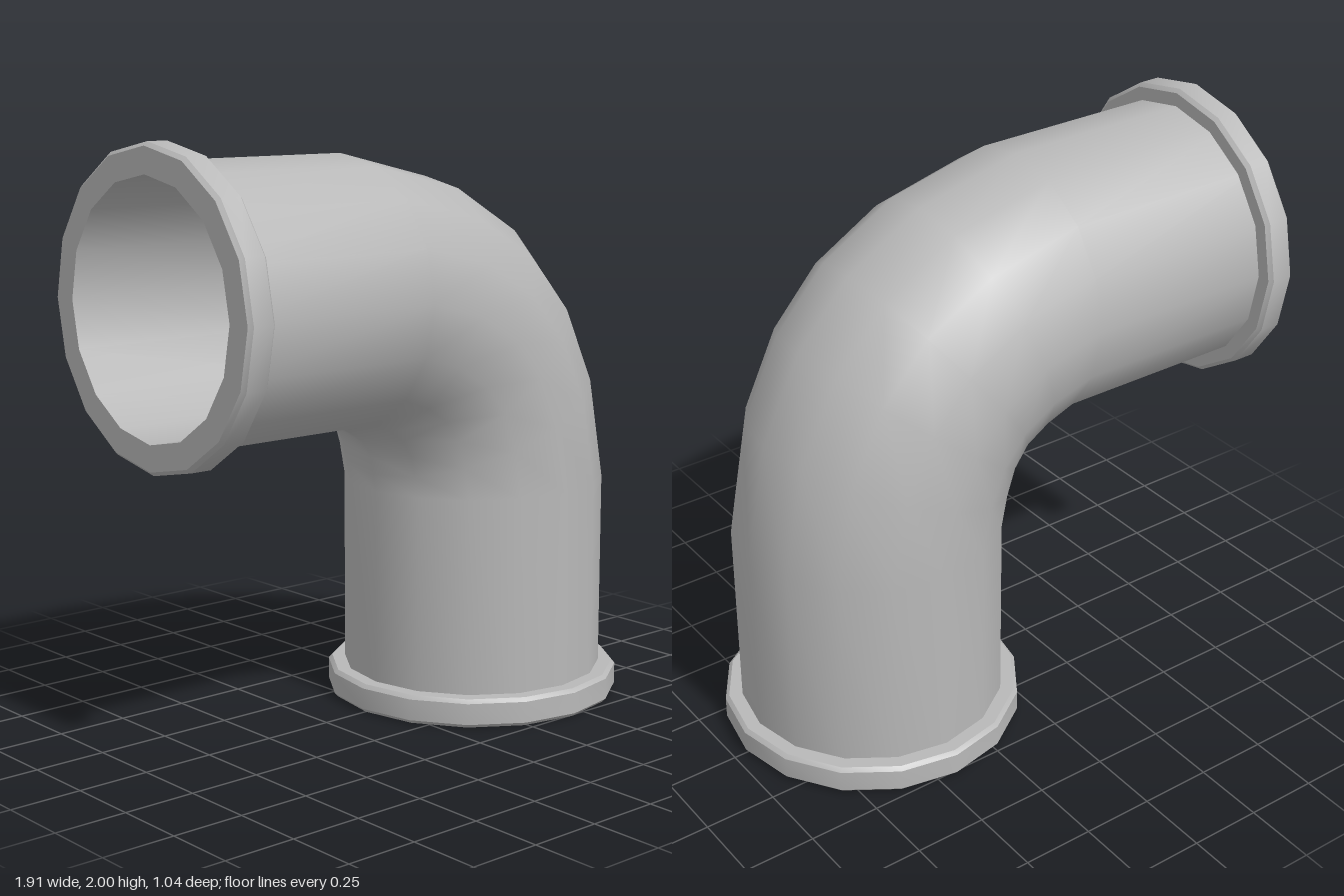
import * as THREE from 'three';
import { toCreasedNormals } from 'three/addons/utils/BufferGeometryUtils.js';

const SIDES = 16;
const OUTER = 0.46, BORE = 0.42, RIM = 0.52;
const AXIS_X = 0.435, AXIS_Y = 1.48, LEFT = -0.96;

// Cross-sections along the elbow: centre x, centre y, turn in degrees
const SECTIONS = [
  [LEFT, AXIS_Y, 0],
  [-0.18, AXIS_Y, 0],
  [0.037, 1.42, 20.9],
  [0.201, 1.322, 37.2],
  [0.312, 1.19, 51.8],
  [0.39, 1.012, 68.2],
  [AXIS_X, 0.78, 90],
  [AXIS_X, 0, 90],
];

// Skin of round sections; inward turns the faces towards the axis
function pipeSkin(radius, inward) {
  const pos = [], index = [];
  SECTIONS.forEach(([cx, cy, deg], i) => {
    const turn = THREE.MathUtils.degToRad(deg);
    for (let j = 0; j < SIDES; j++) {
      const a = (j / SIDES) * Math.PI * 2;
      const n = radius * Math.cos(a);
      pos.push(cx + n * Math.sin(turn), cy + n * Math.cos(turn), radius * Math.sin(a));
      if (i === 0) continue;
      const k = (j + 1) % SIDES;
      const p = (i - 1) * SIDES, q = i * SIDES;
      if (inward) index.push(p + j, q + j, p + k, p + k, q + j, q + k);
      else index.push(p + j, p + k, q + j, p + k, q + k, q + j);
    }
  });
  const g = new THREE.BufferGeometry();
  g.setAttribute('position', new THREE.Float32BufferAttribute(pos, 3));
  g.setIndex(index);
  g.computeVertexNormals();
  return g;
}

// Bevelled collar, its open mouth at y = 0
function flangeGeometry() {
  const b = 0.013, h = 0.1;
  const profile = [
    [BORE, 0], [RIM - b, 0], [RIM, b], [RIM, h - b], [RIM - b, h], [OUTER - 0.01, h],
  ].map(([r, y]) => new THREE.Vector2(r, y));
  return toCreasedNormals(new THREE.LatheGeometry(profile, SIDES), 0.5);
}

export function createModel() {
  const group = new THREE.Group();
  group.name = 'pipeElbow';
  const metal = new THREE.MeshStandardMaterial({ color: 0xb8b8b8 });
  metal.name = 'grey metal';

  const add = (name, geometry) => {
    const mesh = new THREE.Mesh(geometry, metal);
    mesh.name = name;
    group.add(mesh);
    return mesh;
  };

  add('outerWall', pipeSkin(OUTER, false));
  add('innerWall', pipeSkin(BORE, true));

  // Collars at both mouths
  const flange = flangeGeometry();
  add('bottomFlange', flange).position.set(AXIS_X, 0, 0);
  const side = add('sideFlange', flange);
  side.position.set(LEFT, AXIS_Y, 0);
  side.rotation.z = -Math.PI / 2;

  return group;
}
